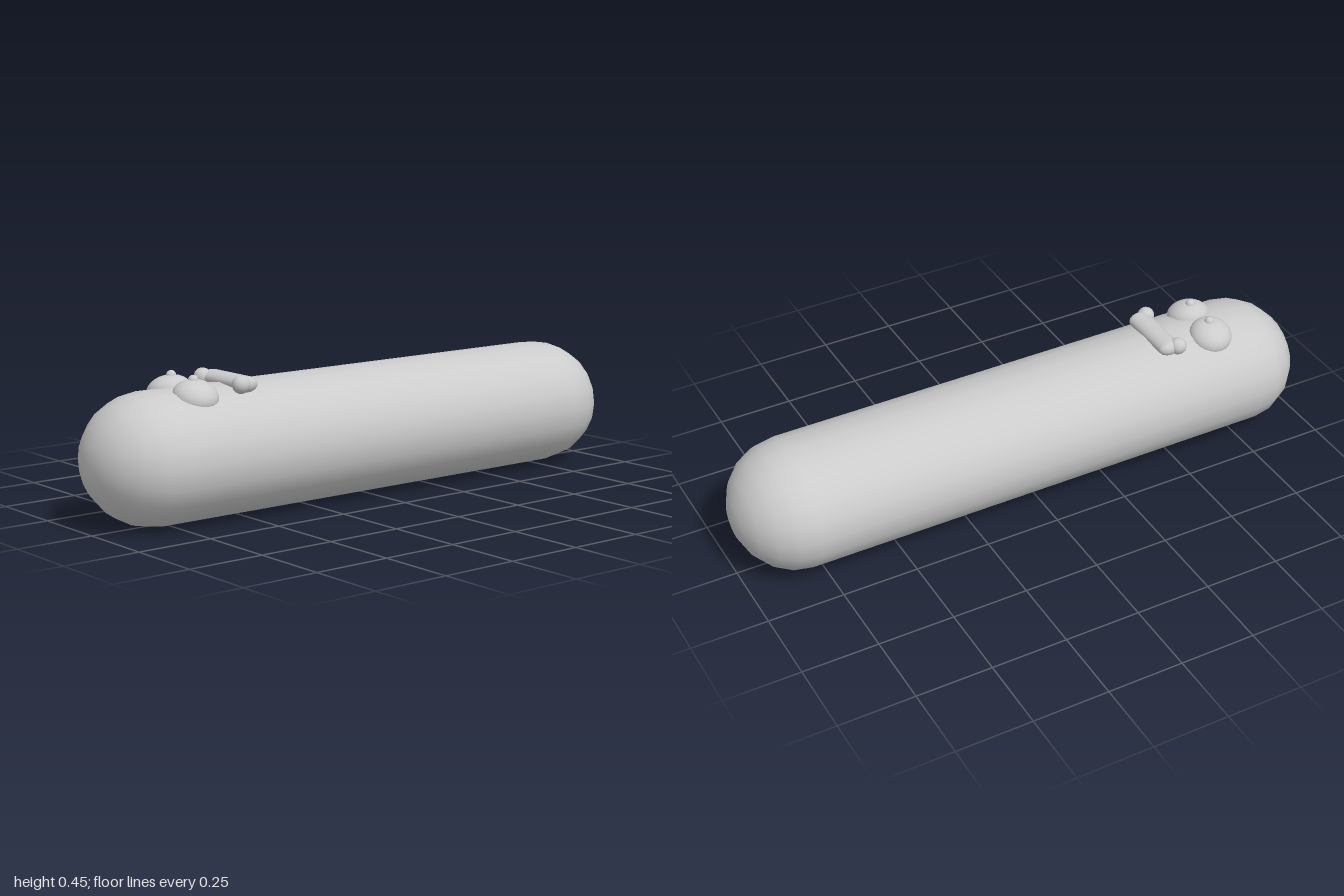
import * as THREE from 'three';

export function createModel() {
  const model = new THREE.Group();
  const grey = new THREE.MeshStandardMaterial({ color: 0xcccccc });
  const add = (name, geometry, x, y, z, parent = model) => {
    const mesh = new THREE.Mesh(geometry, grey);
    mesh.name = name;
    mesh.position.set(x, y, z);
    parent.add(mesh);
    return mesh;
  };

  // Long rounded body lying along x, slightly wider than tall
  const body = new THREE.CapsuleGeometry(0.205, 1.59, 5, 20);
  body.rotateZ(Math.PI / 2);
  body.scale(1, 1, 0.222 / 0.205);
  add('body', body, 0, 0.207, 0);

  // Mouth bar lying across the body
  const bar = new THREE.CapsuleGeometry(0.025, 0.18, 6, 16);
  bar.rotateX(Math.PI / 2);
  bar.scale(1.52, 1, 1);
  const mouth = new THREE.Group();
  mouth.name = 'mouth';
  model.add(mouth);
  add('mouthBar', bar, -0.497, 0.412, 0, mouth);

  for (const side of [-1, 1]) {
    const label = side > 0 ? 'front' : 'back';

    // Flattened dome eye, tilted outwards to follow the body
    const dome = new THREE.SphereGeometry(0.071, 24, 8, 0, Math.PI * 2, 0, Math.PI / 2);
    dome.scale(1, 0.7, 1);
    const base = new THREE.CircleGeometry(0.071, 24);
    base.rotateX(Math.PI / 2);
    const eye = add(label + 'Eye', dome, -0.67, 0.39, side * 0.069);
    eye.rotation.x = side * 0.3;
    add(label + 'EyeBase', base, 0, 0, 0, eye);

    // Small bead pupil
    add(label + 'Pupil', new THREE.SphereGeometry(0.016, 16, 10), -0.67, 0.439, side * 0.058);

    // Upturned corner of the mouth
    const corner = new THREE.SphereGeometry(0.028, 16, 12);
    add(label + 'MouthCorner', corner, -0.525, 0.415, side * 0.1, mouth);
  }
  return model;
}
